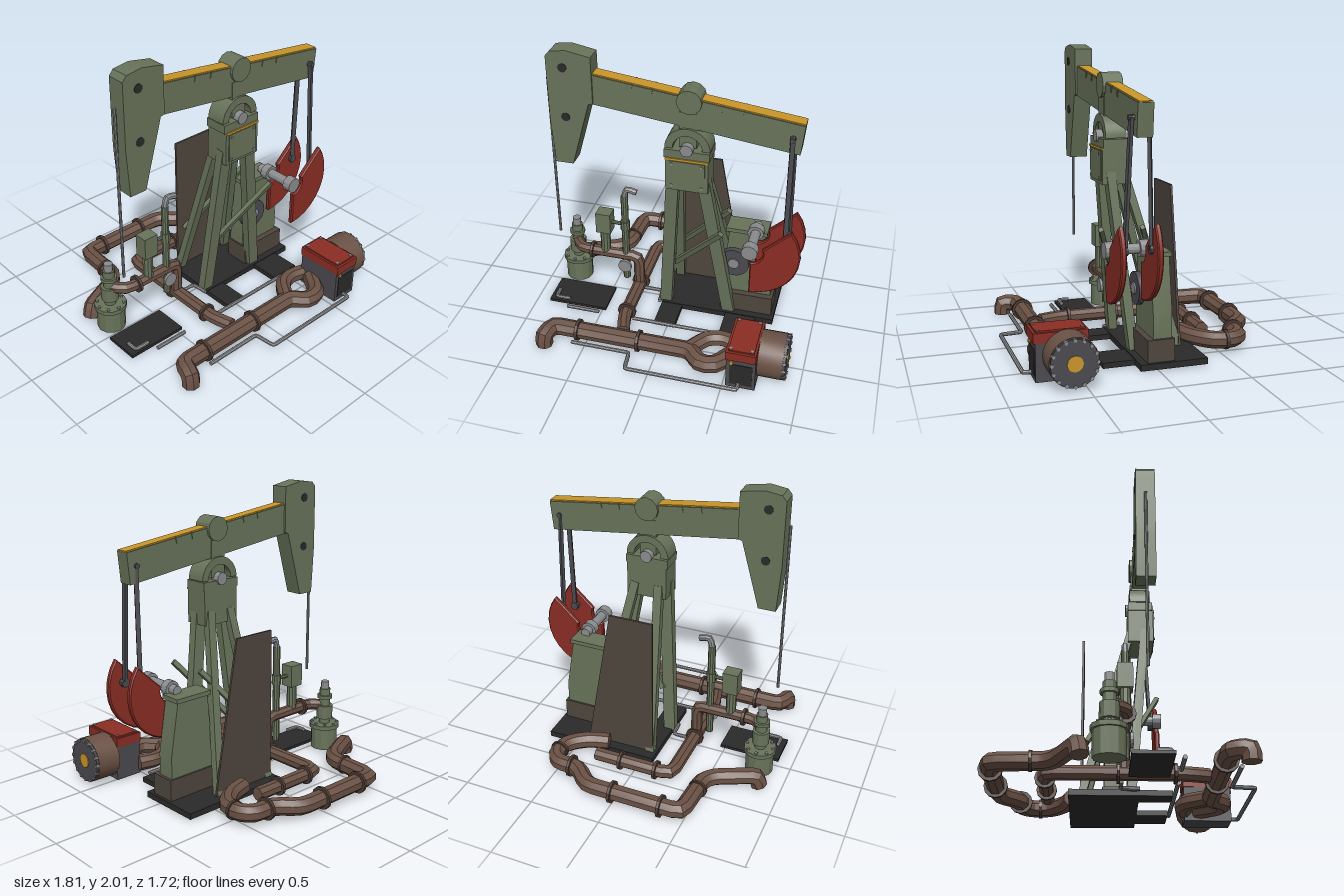
import * as THREE from 'three';
import { toCreasedNormals } from 'three/addons/utils/BufferGeometryUtils.js';

const V = (x, y, z) => new THREE.Vector3(x, y, z);

export function createModel() {
  const root = new THREE.Group();
  root.name = 'oilPump';
  const paint = (name, color) => Object.assign(new THREE.MeshStandardMaterial({ color }), { name });
  const green = paint('olive green', 0x68735a), yellow = paint('yellow', 0xc8952a), red = paint('red', 0x8a2d24);
  const brown = paint('pipe brown', 0x6a5145), ring = paint('flange brown', 0x4c3a32), panel = paint('panel brown', 0x4e463e);
  const dark = paint('dark grey', 0x4a4a50), black = paint('black', 0x2a2a2b);
  const grey = paint('steel grey', 0x8b8c8e);

  // ---- helpers ----
  function add(name, geo, mat, p = [0, 0, 0]) {
    const m = new THREE.Mesh(toCreasedNormals(geo, 0.35), mat);
    m.name = name;
    m.position.set(...p);
    root.add(m);
    return m;
  }
  // box given by its ranges
  const box = (name, mat, x0, x1, y0, y1, z0, z1) =>
    add(name, new THREE.BoxGeometry(x1 - x0, y1 - y0, z1 - z0), mat, [(x0 + x1) / 2, (y0 + y1) / 2, (z0 + z1) / 2]);
  // straight member between two points
  function between(name, mat, a, b, geoOf) {
    const d = b.clone().sub(a);
    const m = add(name, geoOf(d.length()), mat, a.clone().add(b).multiplyScalar(0.5).toArray());
    m.quaternion.setFromUnitVectors(V(0, 1, 0), d.normalize());
    return m;
  }
  const bar = (name, mat, a, b, w, d) => between(name, mat, a, b, (l) => new THREE.BoxGeometry(w, l, d));
  const rod = (name, mat, a, b, r, n = 16, r2 = r) => between(name, mat, a, b, (l) => new THREE.CylinderGeometry(r2, r, l, n));
  // plate from an x,y outline, centred on z
  function plate(name, mat, pts, z, depth, bevel = 0) {
    const g = new THREE.ExtrudeGeometry(new THREE.Shape(pts.map((p) => new THREE.Vector2(...p))), {
      depth: depth - 2 * bevel, bevelEnabled: bevel > 0, bevelSize: bevel, bevelOffset: -bevel, bevelThickness: bevel, bevelSegments: 1 });
    return add(name, g, mat, [0, 0, z - depth / 2 + bevel]);
  }
  // mitred pipe whose corners are cut into short segments
  function pipe(name, mat, points, r, cut = 0.06, n = 8) {
    const src = points.map((p) => V(...p)), path = [src[0]];
    for (let i = 1; i < src.length - 1; i++) {
      const a = src[i - 1].clone().sub(src[i]), b = src[i + 1].clone().sub(src[i]);
      const c = Math.min(cut, a.length() * 0.45, b.length() * 0.45);
      const p = src[i].clone().addScaledVector(a.normalize(), c), q = src[i].clone().addScaledVector(b.normalize(), c);
      const mid = p.clone().add(q).multiplyScalar(0.25).addScaledVector(src[i], 0.5);
      path.push(p, mid, q);
    }
    path.push(src[src.length - 1]);
    const dir = path.slice(1).map((p, i) => p.clone().sub(path[i]).normalize());
    const d0 = dir[0], u = V(0, 1, 0).cross(d0);
    if (u.length() < 0.01) u.set(1, 0, 0);
    u.normalize();
    const v = d0.clone().cross(u);
    let loop = [];
    for (let j = 0; j < n; j++) {
      const t = ((j + 0.5) / n) * Math.PI * 2;
      loop.push(path[0].clone().addScaledVector(u, r * Math.cos(t)).addScaledVector(v, r * Math.sin(t)));
    }
    const out = [], tri = (...t) => t.forEach((p) => out.push(p.x, p.y, p.z));
    for (let j = 0; j < n; j++) tri(path[0], loop[(j + 1) % n], loop[j]);
    for (let i = 1; i < path.length; i++) {
      const d = dir[i - 1], nrm = dir[i] ? d.clone().add(dir[i]).normalize() : d;
      const next = loop.map((p) => p.clone().addScaledVector(d, path[i].clone().sub(p).dot(nrm) / d.dot(nrm)));
      for (let j = 0; j < n; j++) {
        const k = (j + 1) % n;
        tri(loop[j], loop[k], next[k]);
        tri(loop[j], next[k], next[j]);
      }
      loop = next;
    }
    const end = path[path.length - 1];
    for (let j = 0; j < n; j++) tri(end, loop[j], loop[(j + 1) % n]);
    const g = new THREE.BufferGeometry();
    g.setAttribute('position', new THREE.Float32BufferAttribute(out, 3));
    g.computeVertexNormals();
    return add(name, g, mat);
  }

  // ---- walking beam and head ----
  const Z = 0.137;
  plate('horseHead', green, [[-0.81, 1.5], [-0.79, 1.18], [-0.67, 1.18], [-0.54, 1.64], [-0.51, 1.65], [-0.51, 1.97], [-0.67, 2], [-0.78, 1.985], [-0.81, 1.95]], Z, 0.125);
  for (const y of [1.88, 1.53]) rod('headHole', black, V(-0.7, y, Z - 0.066), V(-0.7, y, Z + 0.066), 0.03);
  plate('beam', green, [[-0.55, 1.645], [0.825, 1.47], [0.845, 1.675], [-0.55, 1.85]], Z, 0.1);
  plate('beamStripe', yellow, [[-0.51, 1.846], [0.845, 1.676], [0.846, 1.684], [-0.51, 1.854]], Z, 0.085);
  for (const x of [-0.25, -0.12, 0.33, 0.46]) bar('beamRib', green, V(x - 0.008, 1.745 - 0.127 * x, Z), V(x, 1.785 - 0.127 * x, Z), 0.012, 0.11);
  rod('beamPivot', green, V(0.12, 1.745, Z - 0.068), V(0.12, 1.745, Z + 0.068), 0.083, 12);
  box('beamYoke', green, 0.055, 0.17, 1.42, 1.67, Z - 0.055, Z + 0.055);
  rod('polishedRod', grey, V(-0.83, 0.56, Z), V(-0.83, 1.77, Z), 0.01, 8);

  // ---- bearing and post head ----
  const arch = new THREE.Shape();
  arch.absarc(0.112, 1.41, 0.15, 0, Math.PI, false);
  arch.absarc(0.112, 1.41, 0.098, Math.PI, 0, true);
  add('bearingArch', new THREE.ExtrudeGeometry(arch, { depth: 0.14, bevelEnabled: false, curveSegments: 10 }), green, [0, 0, Z - 0.07]);
  rod('bearingPin', grey, V(0.112, 1.415, 0.04), V(0.112, 1.415, 0.235), 0.042, 12);
  box('bearingPlate', green, -0.038, 0.262, 1.345, 1.405, 0.055, 0.222);
  box('postHead', green, -0.028, 0.256, 1.11, 1.345, 0.055, 0.228);
  box('headStripe', yellow, -0.028, 0.256, 1.335, 1.35, 0.226, 0.235);
  box('headCover', green, -0.005, 0.235, 1.13, 1.33, 0.226, 0.235);
  for (const x of [0.015, 0.215]) for (const y of [1.15, 1.31]) rod('coverBolt', grey, V(x, y, 0.23), V(x, y, 0.241), 0.01, 6);

  // ---- tower ----
  bar('frontLeg', green, V(-0.068, 0.03, 0.07), V(0.012, 1.2, 0.17), 0.085, 0.06);
  bar('frontLeg', green, V(0.395, 0.03, 0.07), V(0.212, 1.2, 0.17), 0.085, 0.06);
  bar('backLeg', green, V(-0.04, 0.03, -0.24), V(0.03, 1.2, 0.075), 0.06, 0.05);
  bar('backLeg', green, V(0.4, 0.03, -0.24), V(0.2, 1.2, 0.075), 0.06, 0.05);
  bar('backBrace', green, V(-0.01, 0.38, -0.22), V(0.36, 0.84, -0.01), 0.035, 0.03);
  bar('frontBrace', green, V(-0.01, 0.38, 0.06), V(0.36, 0.84, 0.27), 0.035, 0.03);
  plate('backPanel', panel, [[-0.06, 0.02], [0.44, 0.02], [0.25, 1.09], [-0.06, 1.09]], -0.247, 0.015);

  // ---- gearbox, cranks and counterweights ----
  box('gearboxBase', panel, 0.33, 0.7, 0.03, 0.19, -0.11, 0.07);
  plate('gearbox', green, [[0.34, 0.19], [0.68, 0.19], [0.68, 0.34], [0.62, 0.7], [0.37, 0.7], [0.34, 0.34]], -0.035, 0.125);
  box('gearboxLid', green, 0.35, 0.635, 0.7, 0.73, -0.11, 0.04);
  rod('pulley', dark, V(0.415, 0.455, 0.02), V(0.415, 0.455, 0.065), 0.108, 20);
  rod('pulleyHub', grey, V(0.415, 0.455, 0.06), V(0.415, 0.455, 0.075), 0.04, 12);
  rod('crankShaft', grey, V(0.56, 0.75, -0.02), V(0.56, 0.75, 0.29), 0.034, 12);
  for (const [a, b] of [[0.03, 0.085], [0.25, 0.312]]) rod('crankHub', grey, V(0.56, 0.75, a), V(0.56, 0.75, b), 0.055, 12);
  const sector = (r, n, a0, a1) => Array.from({ length: n + 1 }, (_, i) => {
    const t = a0 + ((a1 - a0) * i) / n;
    return [0.565 + r * Math.cos(t), 0.75 + r * Math.sin(t)];
  });
  const weight = [...sector(0.33, 10, -Math.PI / 2, 0.66), ...sector(0.085, 5, 0.4, -Math.PI / 2)];
  for (const s of [-1, 1]) {
    const z = 0.17 + s * 0.115;
    plate('counterweight', red, weight, z, 0.036, 0.008);
    bar('pitmanArm', dark, V(0.775, 1.6, 0.15 + s * 0.055), V(0.78, 0.77, 0.162 + s * 0.085), 0.03, 0.022);
    rod('crankPin', dark, V(0.78, 0.79, 0.162 + s * 0.07), V(0.78, 0.79, z), 0.03, 10);
  }
  rod('pitmanPin', dark, V(0.775, 1.585, 0.075), V(0.775, 1.585, 0.225), 0.018, 8);

  // ---- engine ----
  box('engineBlock', dark, 0.525, 0.72, 0.01, 0.25, 0.46, 0.785);
  box('engineSidePlate', black, 0.55, 0.7, 0.04, 0.21, 0.78, 0.789);
  box('engineCover', red, 0.52, 0.72, 0.25, 0.315, 0.455, 0.797);
  box('engineCoverTop', red, 0.535, 0.705, 0.31, 0.325, 0.47, 0.78);
  rod('engineCap', yellow, V(0.56, 0.225, 0.78), V(0.56, 0.225, 0.795), 0.014, 8);
  for (const x of [0.55, 0.69]) for (const z of [0.485, 0.765]) rod('engineBolt', grey, V(x, 0.31, z), V(x, 0.33, z), 0.012, 6);
  const drum = (name, mat, a, b, r, n) => rod(name, mat, V(a, 0.17, 0.587), V(b, 0.17, 0.587), r, n);
  drum('engineDrum', brown, 0.715, 0.882, 0.155, 24);
  drum('drumFace', dark, 0.88, 0.9, 0.15, 24);
  drum('drumHub', yellow, 0.89, 0.906, 0.05, 12);
  for (let i = 0; i < 16; i++) {
    const t = (i * Math.PI) / 8, y = 0.17 + 0.142 * Math.sin(t), z = 0.587 + 0.142 * Math.cos(t);
    rod('drumBolt', grey, V(0.872, y, z), V(0.906, y, z), 0.012, 6);
  }

  // ---- large pipes and their flanges ----
  const H = 0.085, flat = (list) => list.map(([x, z]) => [x, H, z]);
  pipe('frontPipe', brown, [[-0.77, 0.005, 0.715], ...flat([[-0.77, 0.715], [-0.74, 0.605], [0.25, 0.605]]), ...flat([[0.32, 0.705], [0.43, 0.7], [0.54, 0.54]])], 0.06, 0.05);
  pipe('branchPipe', brown, flat([[0.22, 0.605], [0.32, 0.465], [0.42, 0.43], [0.54, 0.46]]), 0.055, 0.04);
  pipe('rearPipe', brown, flat([[0.25, -0.31], [0.4, -0.35], [0.53, -0.46], [0.53, -0.59], [0.47, -0.655], [0.32, -0.655], [0.19, -0.79], [-0.49, -0.79], [-0.51, -0.45], [-0.57, -0.38], [-0.83, -0.26]]).concat([[-0.85, 0.01, -0.25]]), 0.058, 0.06);
  pipe('crossPipe', brown, flat([[0.27, -0.47], [-0.29, -0.47], [-0.29, 0.4], [-0.25, 0.54]]), 0.047, 0.07);
  for (const [x, z, axis] of [[-0.35, -0.79, 'x'], [0, -0.79, 'x'], [0.37, -0.655, 'x'], [-0.18, -0.47, 'x'], [0.08, -0.47, 'x'],
    [-0.555, 0.605, 'x'], [-0.12, 0.605, 'x'], [0.53, -0.53, 'z'], [-0.51, -0.54, 'z'], [-0.29, 0.33, 'z'], [-0.29, -0.02, 'z']]) {
    const o = axis === 'x' ? V(0.01, 0, 0) : V(0, 0, 0.01), c = V(x, H, z);
    rod('pipeFlange', ring, c.clone().sub(o), c.clone().add(o), axis === 'x' && z !== -0.47 ? 0.077 : 0.066, 12);
  }

  // ---- wellhead ----
  const W = (y) => V(-0.795, y, -0.085);
  for (const [name, mat, y0, y1, r] of [['wellBody', green, 0.01, 0.17, 0.098], ['wellFlange', green, 0.17, 0.2, 0.112],
    ['wellNeck', green, 0.2, 0.47, 0.04], ['wellNut', green, 0.24, 0.34, 0.06], ['wellCollar', green, 0.395, 0.42, 0.056], ['wellCap', grey, 0.47, 0.525, 0.03]])
    rod(name, mat, W(y0), W(y1), r, 12);
  for (let i = 0; i < 8; i++) {
    const t = (i * Math.PI) / 4, x = -0.795 + 0.092 * Math.cos(t), z = -0.085 + 0.092 * Math.sin(t);
    rod('wellBolt', grey, V(x, 0.195, z), V(x, 0.213, z), 0.011, 6);
  }
  pipe('wellPipe', brown, [[-0.795, 0.335, -0.085], [-0.73, 0.335, 0.015], [-0.29, 0.335, 0.015], [-0.29, 0.08, 0.015]], 0.04, 0.05);
  rod('wellPipeFlange', ring, V(-0.65, 0.335, 0.015), V(-0.63, 0.335, 0.015), 0.062, 12);
  rod('valveStem', green, V(-0.54, 0.35, 0.015), V(-0.54, 0.54, 0.015), 0.036, 10);
  box('valveBox', green, -0.593, -0.485, 0.53, 0.69, -0.035, 0.062);
  rod('valveLink', green, V(-0.49, 0.61, 0.015), V(-0.385, 0.61, 0.02), 0.014, 8);
  rod('standPipe', green, V(-0.385, 0.14, 0.02), V(-0.385, 0.85, 0.02), 0.026, 10);
  rod('standCollar', green, V(-0.385, 0.57, 0.02), V(-0.385, 0.64, 0.02), 0.034, 10);
  pipe('standOutlet', grey, [[-0.385, 0.84, 0.02], [-0.37, 0.915, 0.02], [-0.295, 0.895, 0.02]], 0.022, 0.03);
  rod('valveWheel', grey, V(-0.385, 0.265, 0.05), V(-0.385, 0.265, 0.07), 0.05, 14);

  // ---- thin steel lines ----
  const low = (list) => list.map(([x, z]) => [x, 0.042, z]);
  for (const line of [[[-0.58, 0.69], [-0.165, 0.69], [-0.15, 0.84], [0.61, 0.84], [0.61, 0.77]], [[-0.24, 0.35], [0.53, 0.35]],
    [[-0.74, 0.345], [-0.5, 0.345]], [[-0.855, 0.18], [-0.855, 0.26], [-0.75, 0.26]], [[-0.27, 0], [-0.12, 0], [-0.11, 0.12]]])
    pipe('steelLine', grey, low(line), 0.014, 0.02);

  // ---- ground plates ----
  box('basePlate', black, -0.09, 0.72, 0.004, 0.045, -0.328, 0.12);
  box('baseRail', black, -0.09, 0.06, 0.004, 0.04, 0.1, 0.33);
  box('baseRail', black, 0.38, 0.6, 0.004, 0.04, 0.1, 0.33);
  box('wellPlate', black, -0.9, -0.47, 0.004, 0.025, 0.035, 0.28);
  return root;
}
